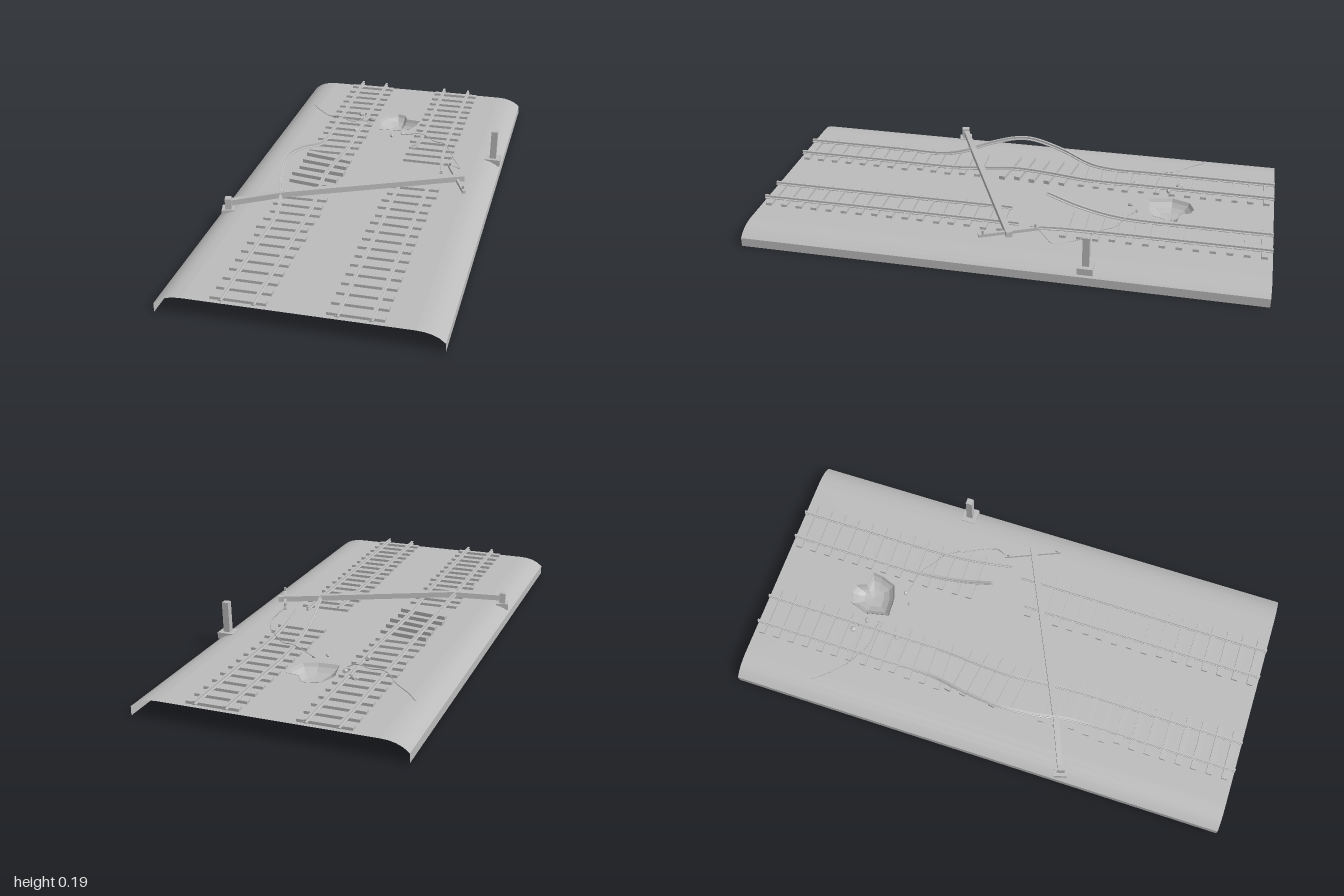
import * as THREE from 'three';

const grey = new THREE.MeshStandardMaterial({ color: 0xbbbbbb, side: THREE.DoubleSide });
grey.name = 'plain grey';
const GROUND = 0.07;
const V = (p) => new THREE.Vector3(...p);

export function createModel() {
  const model = new THREE.Group();
  const add = (name, geometry, parent = model) => {
    const mesh = new THREE.Mesh(geometry, grey);
    mesh.name = name;
    parent.add(mesh);
    return mesh;
  };
  const group = (name) => {
    const g = new THREE.Group();
    g.name = name;
    model.add(g);
    return g;
  };
  const box = (name, size, pos, rot = [0, 0, 0], parent = model) => {
    const m = add(name, new THREE.BoxGeometry(...size), parent);
    m.position.set(...pos);
    m.rotation.set(...rot);
    return m;
  };
  const beam = (name, a, b, w, h, parent = model) => {
    const m = add(name, new THREE.BoxGeometry(w, h, V(a).distanceTo(V(b))), parent);
    m.position.copy(V(a).lerp(V(b), 0.5));
    m.lookAt(V(b));
    return m;
  };
  let seed = 7;
  const rand = () => ((seed = (seed * 16807) % 2147483647) / 2147483647) - 0.5;

  // Crater rim, shared by the hole in the ground and the bowl
  const rim = [[-0.02, -0.69], [0.015, -0.68], [0.03, -0.64], [0.09, -0.632], [0.085, -0.59],
    [0.063, -0.53], [0.01, -0.51], [-0.07, -0.505], [-0.09, -0.6], [-0.065, -0.67]];

  // Flat top of the embankment with the crater cut out
  const top = new THREE.Shape([[-0.4, -1], [0.4, -1], [0.4, 1], [-0.4, 1]].map((p) => new THREE.Vector2(...p)));
  top.holes.push(new THREE.Path(rim.map(([x, z]) => new THREE.Vector2(x, -z))));
  const ground = group('ground');
  add('groundTop', new THREE.ShapeGeometry(top).rotateX(-Math.PI / 2).translate(0, GROUND, 0), ground);

  // Rounded shoulders and vertical skirts
  const shoulder = [[0.4, 0.07], [0.43, 0.068], [0.455, 0.062], [0.478, 0.052], [0.5, 0.035]];
  const strip = (profile, s) => {
    const g = new THREE.PlaneGeometry(1, 1, profile.length - 1, 1);
    const p = g.attributes.position;
    for (let i = 0; i < p.count; i++) {
      const [x, y] = profile[i % profile.length];
      p.setXYZ(i, s * x, y, (i < profile.length ? -1 : 1) * s);
    }
    if (s < 0) g.rotateY(0);
    g.computeVertexNormals();
    return g;
  };
  for (const s of [-1, 1]) {
    add('shoulder', strip(shoulder, s), ground);
    add('skirt', strip([[0.5, 0.035], [0.5, 0]], s), ground);
  }

  // Crater bowl: rim outline shrinking with depth
  const rings = [[1, 0.071], [0.92, 0.058], [0.74, 0.043], [0.45, 0.031], [0, 0.027]];
  const ringPoint = (k, j) => {
    const [s, y] = rings[k];
    const [x, z] = rim[j % rim.length];
    return [x * s, y, -0.6 + (z + 0.6) * s];
  };
  const bowl = [];
  for (let k = 0; k < rings.length - 1; k++) {
    for (let j = 0; j < rim.length; j++) {
      const a = ringPoint(k, j), b = ringPoint(k, j + 1), c = ringPoint(k + 1, j + 1), d = ringPoint(k + 1, j);
      bowl.push(...a, ...d, ...b, ...b, ...d, ...c);
    }
  }
  const bowlGeo = new THREE.BufferGeometry();
  bowlGeo.setAttribute('position', new THREE.Float32BufferAttribute(bowl, 3));
  bowlGeo.computeVertexNormals();
  add('crater', bowlGeo);

  // Rail: foot, web and head profile swept along a path running towards +z
  const railProfile = [[-0.0065, 0], [0.0065, 0], [0.0065, 0.003], [0.002, 0.005], [0.002, 0.009],
    [0.0045, 0.01], [0.0045, 0.014], [-0.0045, 0.014], [-0.0045, 0.01], [-0.002, 0.009], [-0.002, 0.005], [-0.0065, 0.003]];
  const sweepRail = (points) => {
    const curve = new THREE.CatmullRomCurve3(points.map(V));
    const n = points.length === 2 ? 1 : points.length * 5;
    const up = new THREE.Vector3(0, 1, 0);
    const ring = (i) => {
      const c = curve.getPoint(i / n), t = curve.getTangent(i / n);
      const side = new THREE.Vector3().crossVectors(up, t).normalize();
      const lift = new THREE.Vector3().crossVectors(t, side);
      return railProfile.map(([x, y]) => c.clone().addScaledVector(side, x).addScaledVector(lift, y));
    };
    const out = [], m = railProfile.length;
    const tri = (...vs) => vs.forEach((v) => out.push(v.x, v.y, v.z));
    for (let i = 0; i < n; i++) {
      const A = ring(i), B = ring(i + 1);
      for (let j = 0; j < m; j++) {
        const k = (j + 1) % m;
        tri(A[j], A[k], B[j]);
        tri(A[k], B[k], B[j]);
      }
    }
    const caps = THREE.ShapeUtils.triangulateShape(railProfile.map((p) => new THREE.Vector2(...p)), []);
    const first = ring(0), last = ring(n);
    caps.forEach(([a, b, c]) => {
      tri(last[a], last[b], last[c]);
      tri(first[a], first[c], first[b]);
    });
    const g = new THREE.BufferGeometry();
    g.setAttribute('position', new THREE.Float32BufferAttribute(out, 3));
    g.computeVertexNormals();
    return g;
  };
  const R = 0.079;
  const rails = group('rails');
  const railPaths = {
    buckledRail: [[-0.26, R, -1], [-0.26, R, -0.5], [-0.26, R, -0.34], [-0.266, 0.09, -0.24], [-0.3, 0.132, -0.1],
      [-0.32, 0.158, 0.05], [-0.303, 0.132, 0.19], [-0.27, 0.095, 0.31], [-0.26, R, 0.4], [-0.26, R, 0.6], [-0.26, R, 1]],
    shiftedRail: [[-0.145, R, -1], [-0.145, R, -0.5], [-0.146, R, -0.25], [-0.16, 0.086, -0.08], [-0.166, 0.09, 0.06],
      [-0.155, 0.085, 0.18], [-0.145, R, 0.32], [-0.145, R, 0.6], [-0.145, R, 1]],
    raisedRail: [[0.14, R, -1], [0.14, R, -0.7], [0.14, R, -0.5], [0.143, 0.09, -0.38], [0.148, 0.122, -0.25], [0.157, 0.17, -0.13]],
    splayedRail: [[0.255, R, -1], [0.255, R, -0.7], [0.255, R, -0.42], [0.26, 0.081, -0.3], [0.27, 0.085, -0.2], [0.287, 0.088, -0.09]],
    innerRail: [[0.14, R, 0.01], [0.14, R, 1]],
    outerRail: [[0.255, R, -0.04], [0.255, R, 1]],
  };
  for (const [name, path] of Object.entries(railPaths)) add(name, sweepRail(path), rails);

  // Sleepers, disturbed around the damaged stretch
  const sleepers = group('sleepers');
  for (let i = 0; i < 32; i++) {
    const z = -0.969 + i * 0.0625;
    for (const x of [-0.205, 0.198]) {
      const damaged = z > -0.45 && z < 0.55;
      const shifted = x < 0 && z > -0.2 && z < 0.1;
      if (x > 0 && z > -0.16 && z < 0.02) continue;
      if (x < 0 && z > 0.1 && z < 0.18) continue;
      const yaw = shifted ? -0.16 : damaged ? rand() * 0.07 : 0;
      const dx = damaged ? rand() * 0.015 : 0;
      const y = shifted ? 0.077 : 0.0725;
      box('sleeper', [0.197, 0.016, 0.024], [x + dx, y, z], [0, yaw, shifted ? rand() * 0.06 : 0], sleepers);
    }
  }

  // Fallen mast with its snapped base, cross arm and insulators
  const mast = group('fallenMast');
  box('mastFoot', [0.05, 0.026, 0.05], [-0.465, 0.057, 0.355], [0, 0.25, 0], mast);
  box('mastStub', [0.024, 0.045, 0.03], [-0.465, 0.09, 0.355], [0, 0.25, 0], mast);
  beam('mastLower', [-0.455, 0.093, 0.348], [-0.262, 0.112, 0.268], 0.022, 0.022, mast);
  beam('mastUpper', [-0.27, 0.112, 0.271], [0.387, 0.112, -0.032], 0.024, 0.022, mast);
  beam('crossArm', [0.313, 0.11, -0.13], [0.407, 0.106, 0.083], 0.012, 0.012, mast);
  box('insulator', [0.008, 0.014, 0.008], [0.318, 0.123, -0.118], [0, 0, 0], mast);
  box('insulator', [0.008, 0.014, 0.008], [0.4, 0.119, 0.066], [0, 0, 0], mast);

  // Broken upright mast
  const stump = group('standingMast');
  box('stumpFoot', [0.065, 0.026, 0.058], [0.465, 0.057, -0.335], [0, 0, 0], stump);
  box('stumpPost', [0.026, 0.122, 0.026], [0.467, 0.13, -0.335], [0, 0, -0.02], stump);

  // Loose wires draped over the rails
  const wire = (points) => add('wire', new THREE.TubeGeometry(new THREE.CatmullRomCurve3(points.map(V)), 36, 0.002, 5));
  wire([[-0.425, 0.072, -0.705], [-0.38, 0.072, -0.65], [-0.32, 0.073, -0.595], [-0.26, 0.095, -0.55],
    [-0.2, 0.086, -0.53], [-0.145, 0.096, -0.53], [-0.11, 0.08, -0.53]]);
  wire([[0.05, 0.073, -0.465], [0.14, 0.097, -0.44], [0.2, 0.085, -0.405], [0.255, 0.096, -0.36],
    [0.3, 0.075, -0.29], [0.348, 0.073, -0.185], [0.335, 0.095, -0.155], [0.313, 0.112, -0.12]]);

  // Rubble thrown out of the crater
  const rubble = group('rubble');
  [[-0.175, -0.62, 0.014], [-0.122, -0.58, 0.012], [-0.155, -0.44, 0.013], [0.003, -0.44, 0.01], [0.045, -0.472, 0.009],
    [-0.15, -0.6, 0.008]].forEach(([x, z, r], i) => {
    const rock = add('rock', new THREE.DodecahedronGeometry(r), rubble);
    rock.position.set(x, x < -0.1 ? 0.084 : 0.075, z);
    rock.rotation.set(i, i * 2, i * 0.7);
    rock.scale.y = 0.7;
  });
  return model;
}
